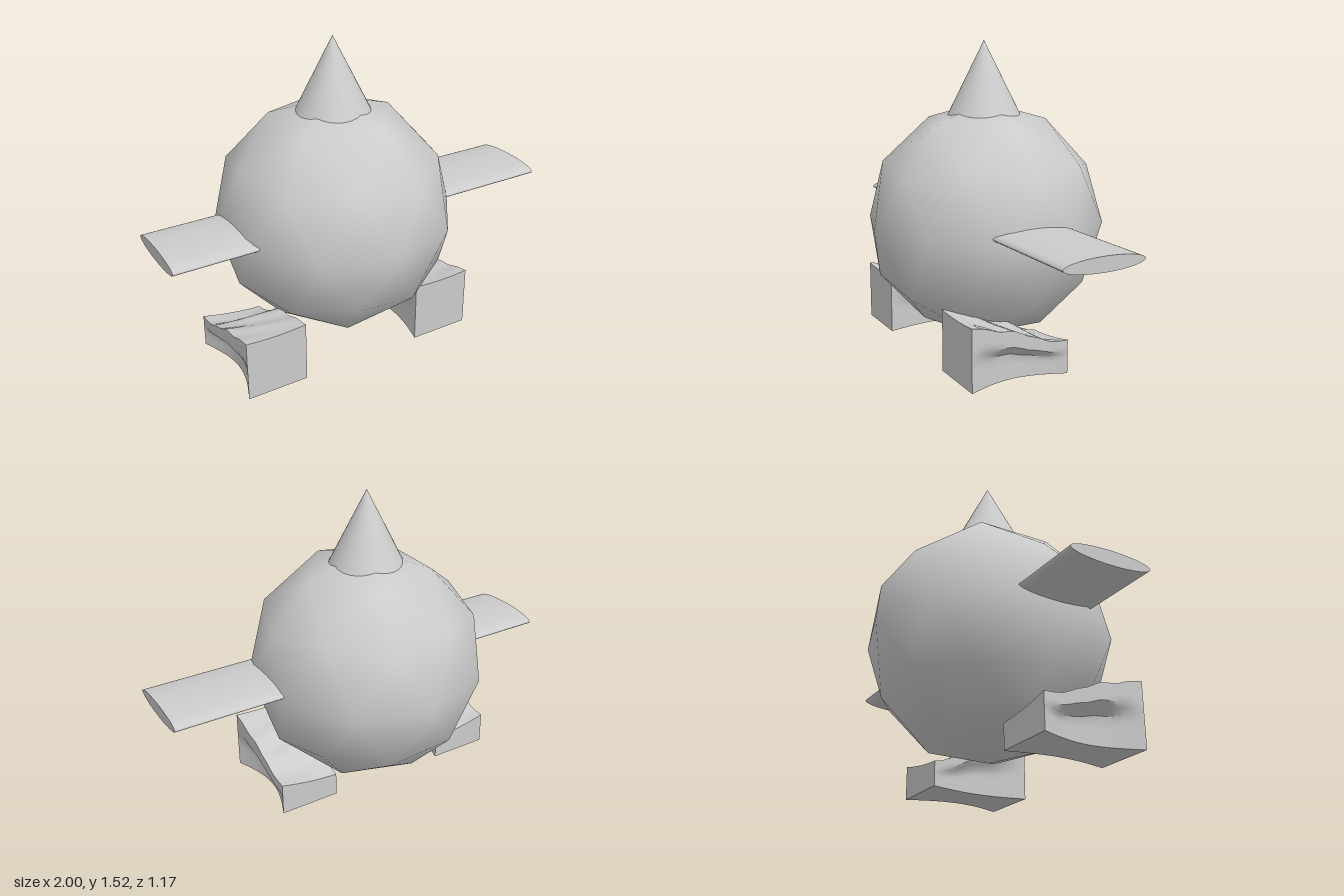
import * as THREE from 'three';
import { toCreasedNormals } from 'three/addons/utils/BufferGeometryUtils.js';

const CX = -0.075; // body axis
const material = new THREE.MeshStandardMaterial({ color: 0xcccccc });

function add(group, name, geometry) {
  const mesh = new THREE.Mesh(geometry, material);
  mesh.name = name;
  group.add(mesh);
  return mesh;
}

// Linear interpolation through [position, value] pairs sorted by position
function profile(points, p) {
  for (let i = 1; i < points.length; i++) {
    const [a, va] = points[i - 1], [b, vb] = points[i];
    if (p <= b) return va + (vb - va) * THREE.MathUtils.clamp((p - a) / (b - a), 0, 1);
  }
  return points[points.length - 1][1];
}

// Foot: tall flat front, rough sloping top, sides hollowed below an overhang
const FOOT_TOP = [[-0.14, 0.165], [-0.03, 0.172], [0.04, 0.215], [0.15, 0.25], [0.28, 0.285], [0.36, 0.302]];

function footGeometry(side) {
  const geo = new THREE.BoxGeometry(0.303, 1, 0.5, 8, 10, 16);
  const pos = geo.attributes.position;
  for (let i = 0; i < pos.count; i++) {
    const u = pos.getX(i) / 0.1515; // -1 inner, 1 outer
    const v = pos.getY(i) + 0.5;
    const z = pos.getZ(i) + 0.11;
    const back = THREE.MathUtils.smoothstep(-z, -0.06, 0.14);
    const ripple = 0.007 * Math.sin(z * 37 + u * 2.5) * Math.sin(Math.PI * (z + 0.14) / 0.5);
    const top = profile(FOOT_TOP, z) + ripple - 0.045 * back * (1 - u) / 2 - 0.008 * (1 - u * u);
    const y = v * top;
    // hollow fades out at both ends and under the upper lip
    const along = Math.sin(Math.PI * THREE.MathUtils.clamp((z + 0.14) / 0.5, 0, 1));
    const lip = 1 - THREE.MathUtils.smoothstep(v, 0.45, 0.72);
    const depth = u > 0 ? 0.065 : 0.04;
    const x = u * (0.1515 - depth * along * lip * Math.abs(u));
    pos.setXYZ(i, side * x, y, z);
  }
  if (side < 0) { // keep faces outward after mirroring
    const index = geo.index.array;
    for (let i = 0; i < index.length; i += 3) [index[i], index[i + 1]] = [index[i + 1], index[i]];
  }
  return toCreasedNormals(geo, 0.6);
}

export function createModel() {
  const model = new THREE.Group();
  model.name = 'wingedBall';

  // Body: coarse smooth icosphere standing on a vertex
  const ball = new THREE.IcosahedronGeometry(0.585, 1);
  ball.rotateZ(-Math.atan(2 / (1 + Math.sqrt(5))));
  add(model, 'body', ball).position.set(CX, 0.645, 0);

  // Pointed hat sunk into the top of the body
  const hat = toCreasedNormals(new THREE.ConeGeometry(0.212, 0.425, 32), 0.6);
  add(model, 'hat', hat).position.set(CX, 1.3125, 0);

  for (const side of [1, -1]) {
    const name = side > 0 ? 'left' : 'right';

    // Wing: flattened elliptical bar
    const wing = new THREE.CylinderGeometry(1, 1, 0.6, 48);
    wing.rotateZ(Math.PI / 2);
    wing.scale(1, 0.034, 0.2);
    add(model, name + 'Wing', toCreasedNormals(wing, 0.9)).position.set(side * 0.7, 0.677, 0.03);

    // Foot
    add(model, name + 'Foot', footGeometry(side)).position.x = -0.127 + side * 0.4615;
  }
  return model;
}
